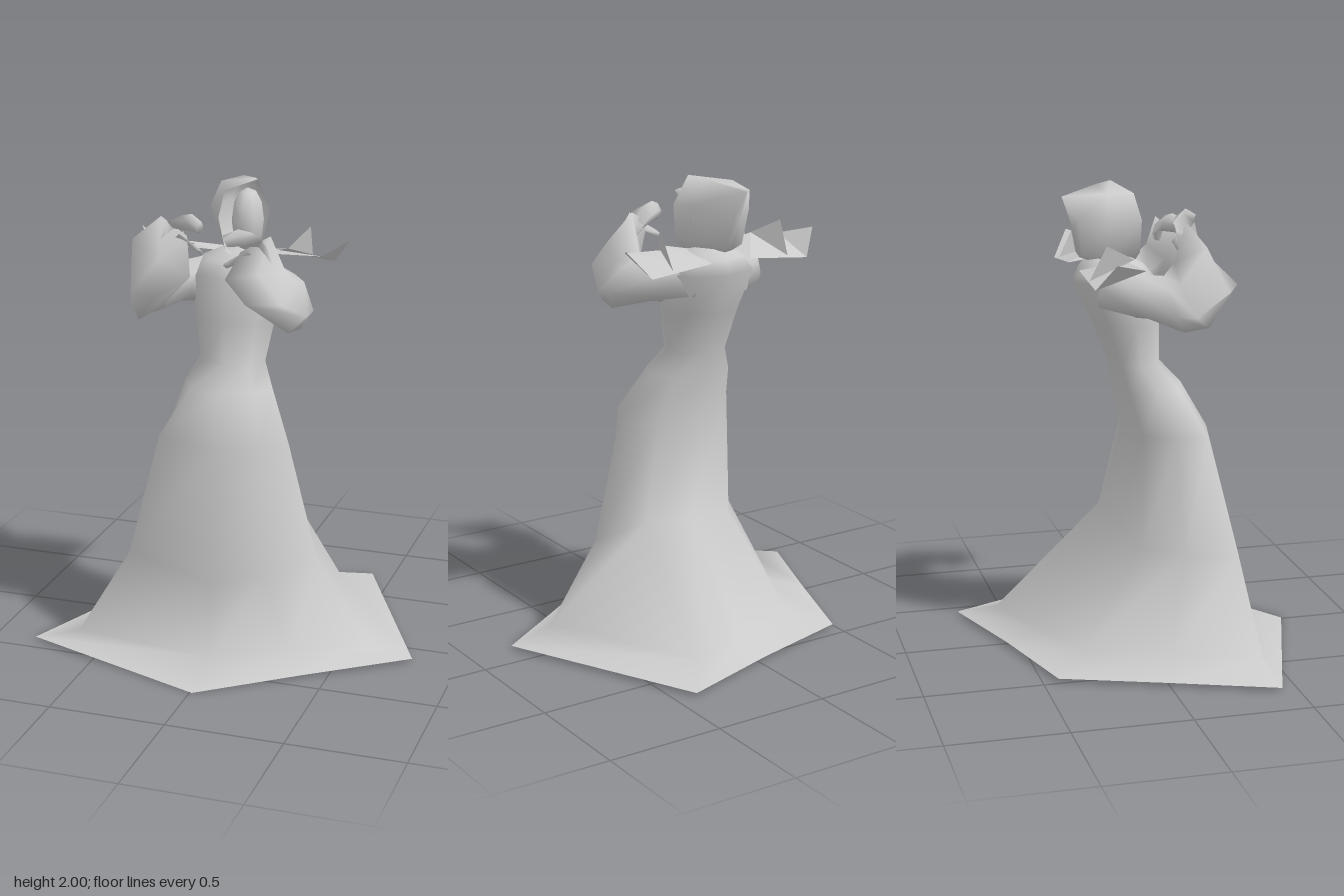
import * as THREE from 'three';

const material = new THREE.MeshStandardMaterial({ color: 0xcccccc, side: THREE.DoubleSide });
const MID = -0.055; // x of the upper body's mirror plane

function makeMesh(name, points, index, flat = false) {
  let geometry = new THREE.BufferGeometry();
  geometry.setAttribute('position', new THREE.Float32BufferAttribute(points.flat(), 3));
  geometry.setIndex(index);
  if (flat) geometry = geometry.toNonIndexed();
  geometry.computeVertexNormals();
  const mesh = new THREE.Mesh(geometry, material);
  mesh.name = name;
  return mesh;
}

// Smooth skin over a list of rings, each a loop of [x, y, z] corners
function loft(name, rings, capEnd = false) {
  const n = rings[0].length;
  const points = rings.flat();
  const index = [];
  for (let r = 0; r < rings.length - 1; r++) {
    for (let i = 0; i < n; i++) {
      const a = r * n + i, b = r * n + (i + 1) % n;
      index.push(a, b, b + n, a, b + n, a + n);
    }
  }
  if (capEnd) {
    const last = rings[rings.length - 1];
    const base = points.length - n;
    points.push([0, 1, 2].map(k => last.reduce((s, p) => s + p[k], 0) / n));
    for (let i = 0; i < n; i++) index.push(base + i, base + (i + 1) % n, points.length - 1);
  }
  return makeMesh(name, points, index);
}

// Level oval ring running from the front round by the left
function oval(y, halfWidth, front, back, n = 8) {
  return Array.from({ length: n }, (_, i) => {
    const a = i / n * Math.PI * 2;
    return [MID + 0.01 + Math.sin(a) * halfWidth, y, (front + back) / 2 + Math.cos(a) * (front - back) / 2];
  });
}

// Tilted oval ring spanned by two half-axes
function tilted(c, u, v, n = 6) {
  return Array.from({ length: n }, (_, i) => {
    const a = i / n * Math.PI * 2;
    return c.map((x, k) => x + Math.cos(a) * u[k] + Math.sin(a) * v[k]);
  });
}

// Robe: five-cornered hem and train, narrowing to a waist, then the chest
function robe() {
  const hem = [[0.01, 0, 0.7], [0.405, 0.01, 0.415], [0.805, 0.015, 0.13], [0.41, 0.015, -0.705],
    [-0.03, 0.015, -0.56], [-0.485, 0.015, -0.435], [-0.645, 0.015, 0], [-0.81, 0.015, 0.43]];
  const flare = [[0, 0.05, 0.455], [0.305, 0.06, 0.29], [0.61, 0.07, 0.13], [0.29, 0.07, -0.55],
    [-0.02, 0.07, -0.425], [-0.33, 0.07, -0.3], [-0.47, 0.07, 0.055], [-0.61, 0.07, 0.41]];
  const knee = [[0, 0.36, 0.4], [0.2, 0.39, 0.31], [0.38, 0.41, 0.13], [0.254, 0.53, -0.085],
    [0.01, 0.5, -0.06], [-0.22, 0.46, -0.01], [-0.33, 0.45, 0.15], [-0.385, 0.45, 0.37]];
  const hip = [[-0.02, 0.93, 0.33], [0.17, 0.94, 0.28], [0.25, 0.93, 0.14], [0.15, 0.93, -0.02],
    [-0.03, 0.93, -0.05], [-0.205, 0.95, 0], [-0.295, 0.95, 0.12], [-0.285, 0.95, 0.26]];
  return loft('robe', [hem, flare, knee, hip,
    oval(1.14, 0.195, 0.205, -0.1),
    oval(1.24, 0.146, 0.11, -0.11),
    oval(1.42, 0.178, 0.11, -0.18),
    oval(1.6, 0.215, 0.09, -0.265),
    oval(1.66, 0.16, 0.04, -0.24),
    oval(1.7, 0.07, -0.04, -0.19)], true);
}

// Hood turned a little to one side, pointed at the back, with a face inside
function head() {
  const group = new THREE.Group();
  group.name = 'head';
  const rim = [[0, 1.64, 0], [0.07, 1.73, -0.03], [0.1, 1.88, -0.06], [0.04, 2, -0.08],
    [-0.08, 1.96, -0.01], [-0.1, 1.85, 0.02], [-0.07, 1.71, 0.02]];
  const middle = [[-0.04, 1.66, -0.14], [0.04, 1.72, -0.12], [0.06, 1.88, -0.13], [0.01, 1.99, -0.15],
    [-0.14, 1.97, -0.14], [-0.19, 1.86, -0.14], [-0.13, 1.7, -0.13]];
  const back = [[-0.07, 1.7, -0.24], [-0.04, 1.72, -0.25], [-0.06, 1.86, -0.28], [-0.09, 1.95, -0.31],
    [-0.1, 1.96, -0.32], [-0.14, 1.87, -0.26], [-0.12, 1.72, -0.24]];
  group.add(loft('hood', [rim, middle, back], true));
  const face = new THREE.Mesh(new THREE.SphereGeometry(1, 8, 6), material);
  face.name = 'face';
  face.scale.set(0.07, 0.135, 0.09);
  face.position.set(0, 1.83, -0.07);
  group.add(face);
  return group;
}

// Thin shoulder plate, lower at the back, its outer end folded up to a point
function shoulderPlate(name, front, back, tip) {
  return makeMesh(name, [[0.04, 1.66, -0.26], [0.04, 1.69, -0.06], front, tip, back],
    [0, 1, 2, 0, 2, 4, 4, 2, 3], true);
}

// One arm: bell sleeve, raised hand and the plates above the shoulder
function arm(name, lift) {
  const group = new THREE.Group();
  group.name = name;
  const cuff = [[0.14, 1.59, 0.39], [0.02, 1.66, 0.29], [0.06, 1.76 + lift, 0.21],
    [0.17 + lift / 2, 1.82 + lift, 0.15], [0.25 + lift, 1.7 + lift * 1.6, 0.21], [0.27, 1.58, 0.32]];
  group.add(loft('sleeve', [
    tilted([0.05, 1.56, -0.11], [0, -0.1, 0.02], [-0.03, 0, 0.1]),
    tilted([0.15, 1.56, -0.02], [0.02, -0.09, 0.02], [-0.07, 0, 0.07]),
    tilted([0.24, 1.54, 0.09], [0.05, -0.11, 0.03], [-0.08, -0.02, 0.03]),
    tilted([0.22, 1.57, 0.17], [0.05, -0.13, 0.06], [-0.1, 0.01, 0.04]),
    cuff], true));
  group.add(loft('hand', [
    tilted([0.18, 1.7, 0.19], [0.02, 0.02, 0.03], [0.03, -0.03, 0], 5),
    tilted([0.13, 1.79 + lift, 0.16], [0.02, 0.02, 0.04], [0.04, -0.04, 0], 5),
    tilted([0.06, 1.81 + lift, 0.18], [0.01, 0.02, 0.04], [0.02, -0.035, 0], 5),
    tilted([0, 1.8 + lift, 0.22], [0, 0.015, 0.03], [0.01, -0.025, 0], 5)], true));
  group.add(loft('thumb', [
    tilted([0.09, 1.75 + lift, 0.21], [0, 0.02, 0.015], [0.02, 0, 0], 4),
    tilted([0, 1.7 + lift, 0.22], [0, 0.015, 0.01], [0.012, 0, 0], 4)], true));
  group.add(shoulderPlate('upperShoulderPlate', [0.18, 1.72, -0.06], [0.23, 1.65, -0.26], [0.24, 1.79, -0.19]));
  group.add(shoulderPlate('lowerShoulderPlate', [0.33, 1.7, -0.05], [0.33, 1.63, -0.26], [0.41, 1.74, -0.19]));
  return group;
}

export function createModel() {
  const model = new THREE.Group();
  model.name = 'robedFigure';
  const rightArm = arm('rightArm', 0.05);
  rightArm.scale.x = -1;
  rightArm.position.x = 2 * MID;
  model.add(robe(), head(), arm('leftArm', 0), rightArm);
  return model;
}
